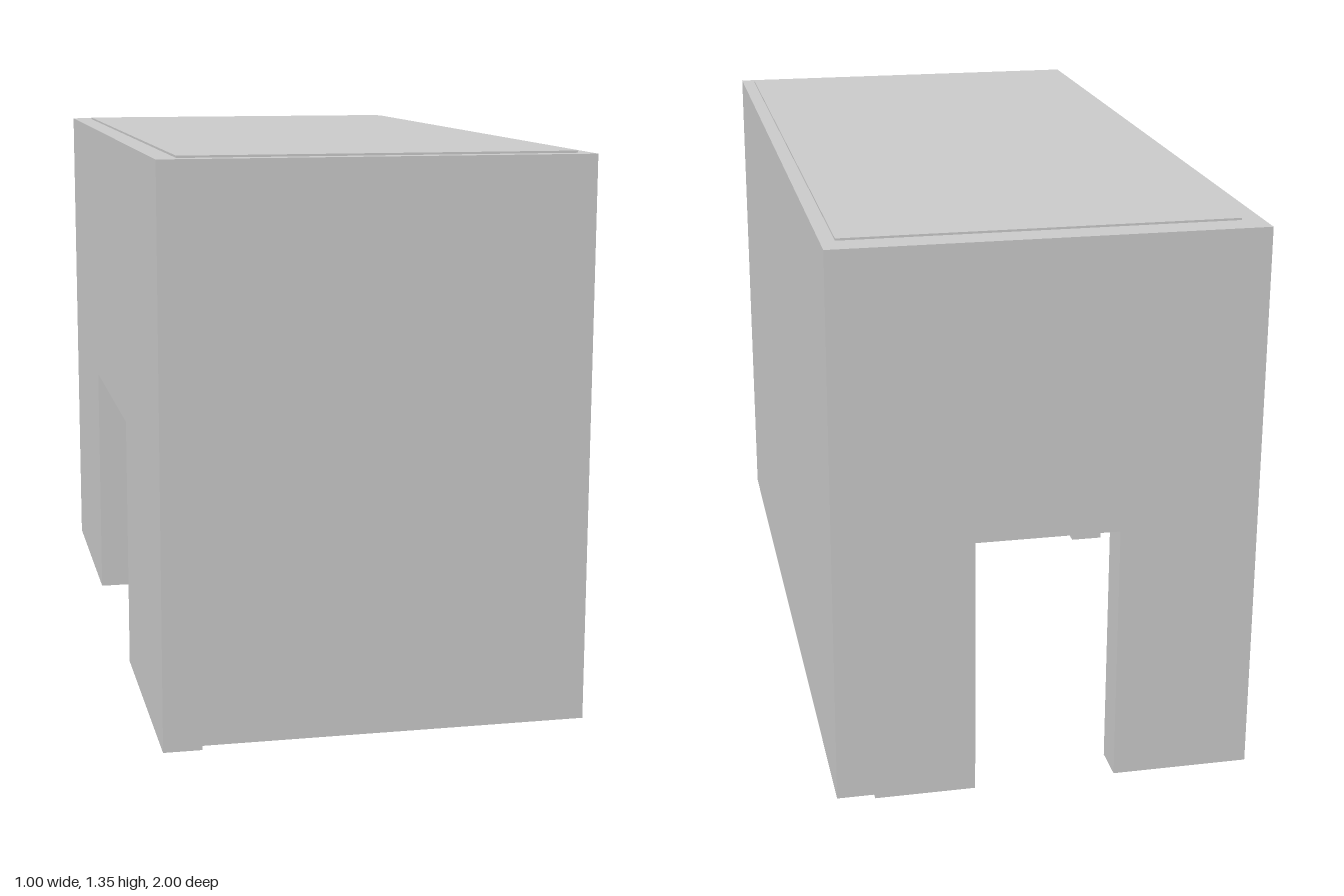
import * as THREE from 'three';

const W = 1, L = 2, H = 1.34, T = 0.09, DOOR_TOP = 0.635;

export function createModel() {
  const group = new THREE.Group();
  const mat = new THREE.MeshStandardMaterial({ color: 0xcccccc, flatShading: true });
  const add = (name, geo) => {
    const mesh = new THREE.Mesh(geo, mat);
    mesh.name = name;
    group.add(mesh);
    return mesh;
  };

  // Upright wall panel, centred on its own origin, with an optional doorway
  const panel = (length, base, doorHalf = 0) => {
    const h = length / 2;
    const pts = [[-h, base]];
    if (doorHalf) {
      pts.push([-doorHalf, base], [-doorHalf, DOOR_TOP], [doorHalf, DOOR_TOP], [doorHalf, base]);
    }
    pts.push([h, base], [h, H], [-h, H]);
    const shape = new THREE.Shape(pts.map(([x, y]) => new THREE.Vector2(x, y)));
    return new THREE.ExtrudeGeometry(shape, { depth: T, bevelEnabled: false }).translate(0, 0, -T / 2);
  };

  // Long walls: solid on the left, wide doorway on the right
  add('leftWall', panel(L, 0.01).rotateY(Math.PI / 2)).position.x = (W - T) / 2;
  add('rightWall', panel(L, 0, 0.35).rotateY(Math.PI / 2)).position.x = -(W - T) / 2;

  // End walls between them: solid front, narrow doorway at the back
  add('frontWall', panel(W - 2 * T, 0.01)).position.z = (L - T) / 2;
  add('backWall', panel(W - 2 * T, 0, 0.17)).position.z = -(L - T) / 2;

  // Roof slab set into the walls, just proud of their top edge
  add('roof', new THREE.BoxGeometry(0.916, 0.095, 1.89)).position.set(0.008, H + 0.005 - 0.0475, 0.015);

  return group;
}
